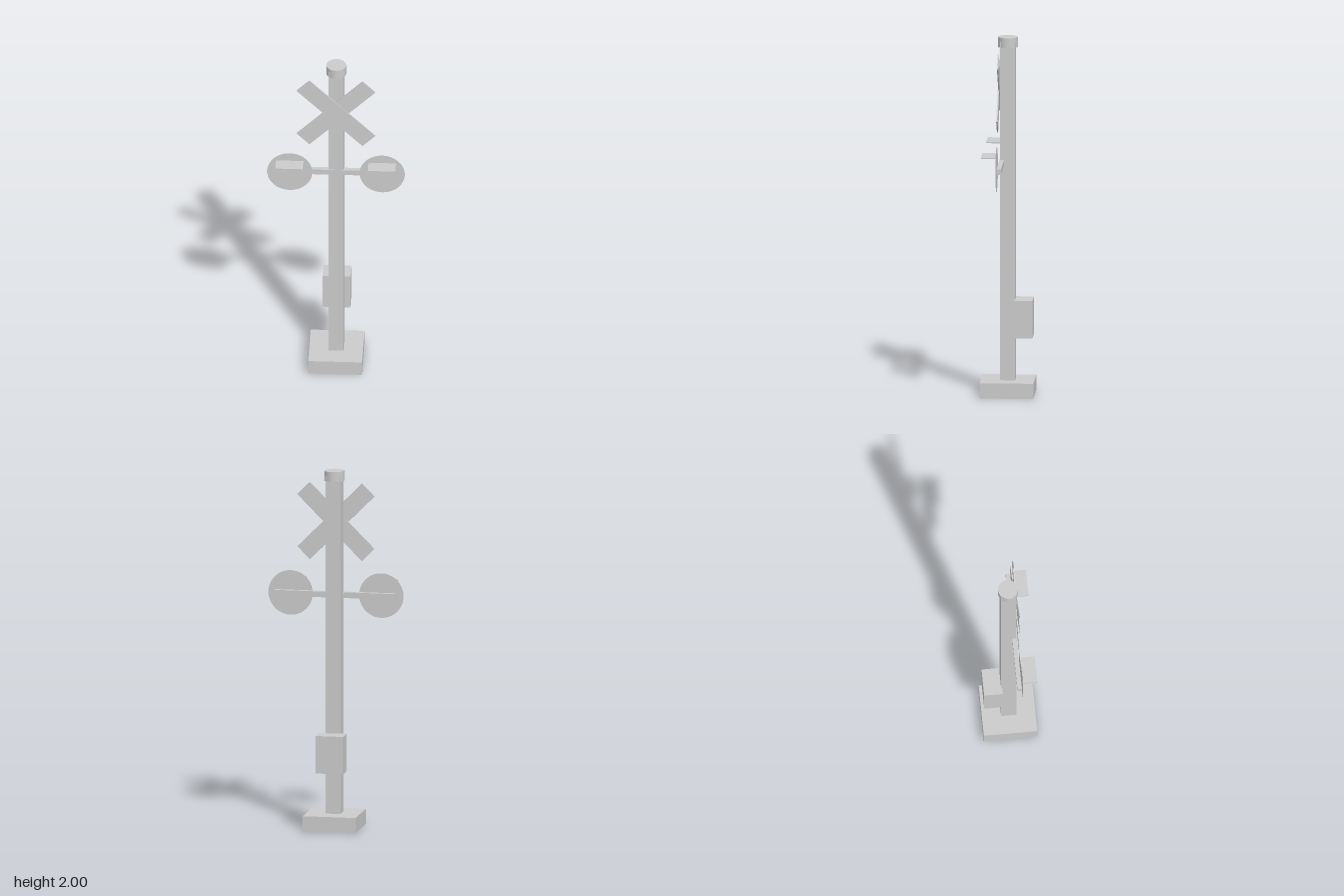
import * as THREE from 'three';

const material = new THREE.MeshStandardMaterial({ color: 0xcccccc });
const thinMaterial = new THREE.MeshStandardMaterial({ color: 0xcccccc, side: THREE.DoubleSide });

export function createModel() {
  const model = new THREE.Group();
  model.name = 'railwayCrossingSignal';

  const add = (name, geometry, x, y, z, mat = material) => {
    const mesh = new THREE.Mesh(geometry, mat);
    mesh.name = name;
    mesh.position.set(x, y, z);
    model.add(mesh);
    return mesh;
  };
  const box = (w, h, d) => new THREE.BoxGeometry(w, h, d);

  // Footing, square post and round cap
  add('base', box(0.296, 0.085, 0.296), 0, 0.0425, 0);
  add('post', box(0.084, 1.89, 0.084), 0, 1.03, 0);
  add('postCap', new THREE.CylinderGeometry(0.055, 0.055, 0.056, 32), 0, 1.972, 0);

  // Equipment cabinet behind the post
  add('controlBox', box(0.154, 0.21, 0.104), 0, 0.43, -0.087);

  // Crossed blades, one just in front of the other
  for (const side of [-1, 1]) {
    const blade = add(side < 0 ? 'frontCrossBlade' : 'rearCrossBlade',
      box(0.514, 0.1, 0.007), 0, 1.707, side < 0 ? 0.0495 : 0.0455);
    blade.rotation.z = side * Math.PI / 4;
  }

  // Horizontal arm carrying the two lamps
  add('lampArm', box(0.68, 0.032, 0.025), 0, 1.3, 0.0325);

  // Round backing plate, lens and visor on each side
  for (const side of [-1, 1]) {
    const label = side > 0 ? 'left' : 'right';
    const x = side * 0.255;
    add(label + 'LampPlate', new THREE.CircleGeometry(0.125, 40), x, 1.3, 0.048, thinMaterial);
    add(label + 'LampLens', new THREE.CircleGeometry(0.063, 32), x, 1.3, 0.052, thinMaterial);
    add(label + 'LampVisor', box(0.152, 0.007, 0.077), x, 1.375, 0.0925);
  }

  return model;
}
